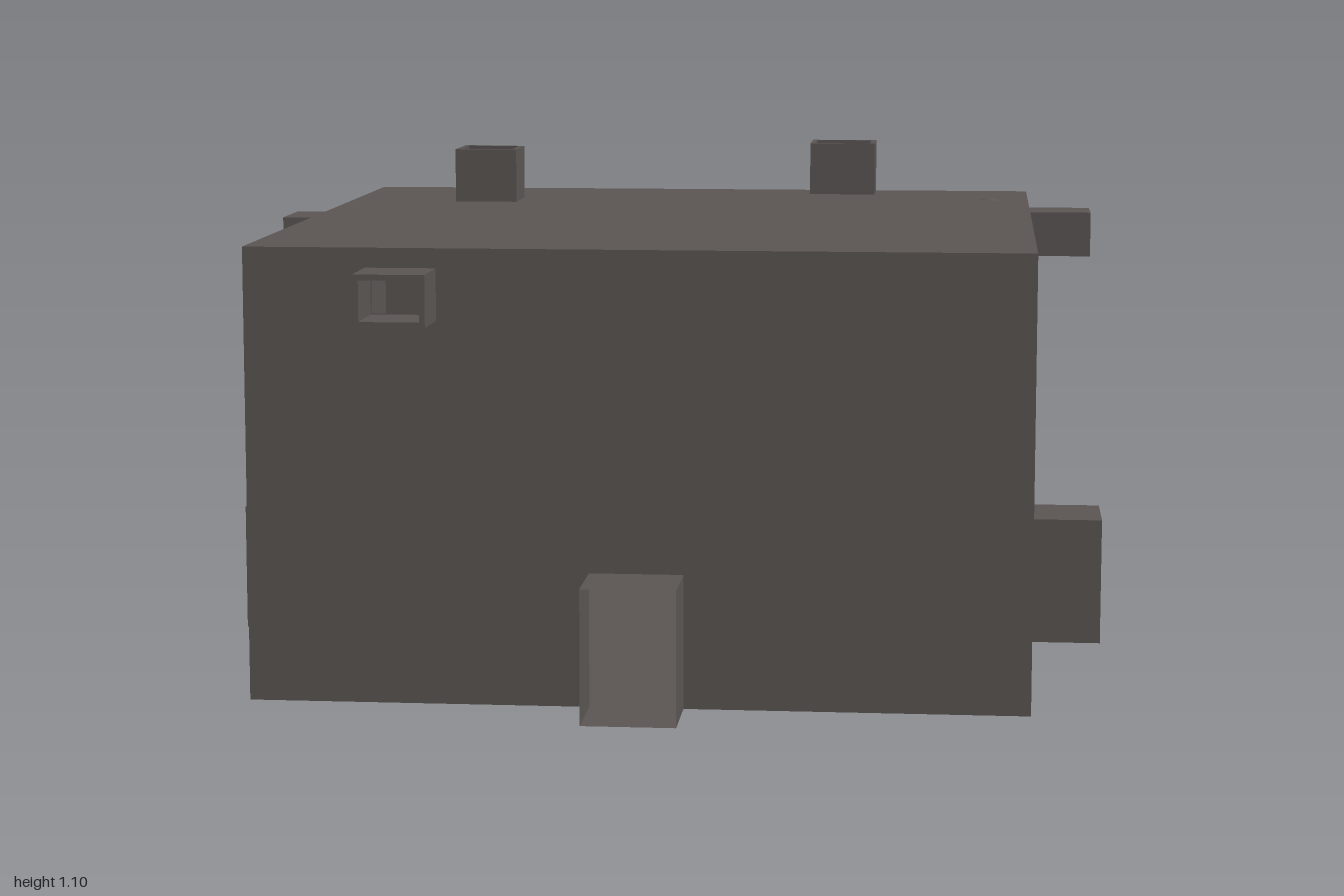
import * as THREE from 'three';

const HALF = 0.83, TOP = 0.972, DOOR = 0.1, DOOR_H = 0.288;

export function createModel() {
  const model = new THREE.Group();
  const stone = new THREE.MeshStandardMaterial({ color: 0x5a5553, side: THREE.DoubleSide });
  stone.name = 'dark stone';

  const add = (parent, name, geometry) => {
    const mesh = new THREE.Mesh(geometry, stone);
    mesh.name = name;
    parent.add(mesh);
    return mesh;
  };
  const points = list => list.map(([x, y]) => new THREE.Vector2(x, y));
  const rect = (x0, x1, y0, y1) => [[x0, y0], [x1, y0], [x1, y1], [x0, y1]];
  // move every corner of a four-sided outline inwards
  const inset = (quad, t) => quad.map(([x, y], i) =>
    [x + (i === 0 || i === 3 ? t : -t), y + (i < 2 ? t : -t)]);
  // hollow duct standing on the z = 0 plane
  const duct = (quad, depth) => {
    const shape = new THREE.Shape(points(quad));
    shape.holes.push(new THREE.Path(points(inset(quad, 0.012))));
    return new THREE.ExtrudeGeometry(shape, { depth, bevelEnabled: false });
  };
  const panel = (outline, openings) => {
    const shape = new THREE.Shape(points(outline));
    openings.forEach(q => shape.holes.push(new THREE.Path(points(inset(q, 0.014)))));
    return new THREE.ShapeGeometry(shape);
  };

  // four walls, each with a doorway tunnel and some with a vent
  const wallOutline = [[-HALF, 0], [-DOOR, 0], [-DOOR, DOOR_H], [DOOR, DOOR_H],
    [DOOR, 0], [HALF, 0], [HALF, TOP], [-HALF, TOP]];
  const sides = [
    { name: 'front', angle: 0, vent: [-0.57, -0.42], length: 0.14 },
    { name: 'right', angle: -Math.PI / 2, vent: [-0.55, -0.37], length: 0.17 },
    { name: 'back', angle: Math.PI },
    { name: 'left', angle: Math.PI / 2, vent: [0.69, 0.84], length: 0.16 },
  ];
  for (const { name, angle, vent, length } of sides) {
    const side = new THREE.Group();
    side.name = name + 'Side';
    side.rotation.y = angle;
    model.add(side);

    const quad = vent && rect(vent[0], vent[1], 0.82, 0.93);
    add(side, name + 'Wall', panel(wallOutline, quad ? [quad] : [])).position.z = HALF;
    if (quad) add(side, name + 'Vent', duct(quad, length)).position.z = HALF;

    // open-ended tunnel: two cheeks, a ceiling and a floor
    const run = 1 - HALF, mid = HALF + run / 2;
    for (const s of [-1, 1]) {
      const cheek = add(side, name + 'TunnelCheek', new THREE.PlaneGeometry(run, DOOR_H));
      cheek.rotation.y = s * Math.PI / 2;
      cheek.position.set(s * DOOR, DOOR_H / 2, mid);
    }
    for (const [part, y, tilt] of [['Ceiling', DOOR_H, -1], ['Floor', 0, 1]]) {
      const slab = add(side, name + 'Tunnel' + part, new THREE.PlaneGeometry(2 * DOOR, run));
      slab.rotation.x = tilt * Math.PI / 2;
      slab.position.set(0, y, mid);
    }
  }

  // roof with two chimneys, drawn flat and laid down (outline y is -z)
  const chimneys = [
    [[-0.57, 0.38], [-0.42, 0.38], [-0.42, 0.525], [-0.57, 0.54]],
    rect(0.285, 0.447, 0.69, 0.84),
  ];
  const roof = new THREE.Group();
  roof.name = 'roofAssembly';
  roof.rotation.x = -Math.PI / 2;
  roof.position.y = TOP;
  model.add(roof);
  add(roof, 'roof', panel(rect(-HALF, HALF, -HALF, HALF), chimneys));
  chimneys.forEach(q => add(roof, 'chimney', duct(q, 0.128)));

  // small stone tip breaking through the roof
  add(model, 'stoneTip', new THREE.CylinderGeometry(0.012, 0.03, 0.006, 8))
    .position.set(0.735, TOP + 0.002, -0.54);

  // floor
  const floor = add(model, 'floor', new THREE.PlaneGeometry(2 * HALF, 2 * HALF));
  floor.rotation.x = Math.PI / 2;

  return model;
}
